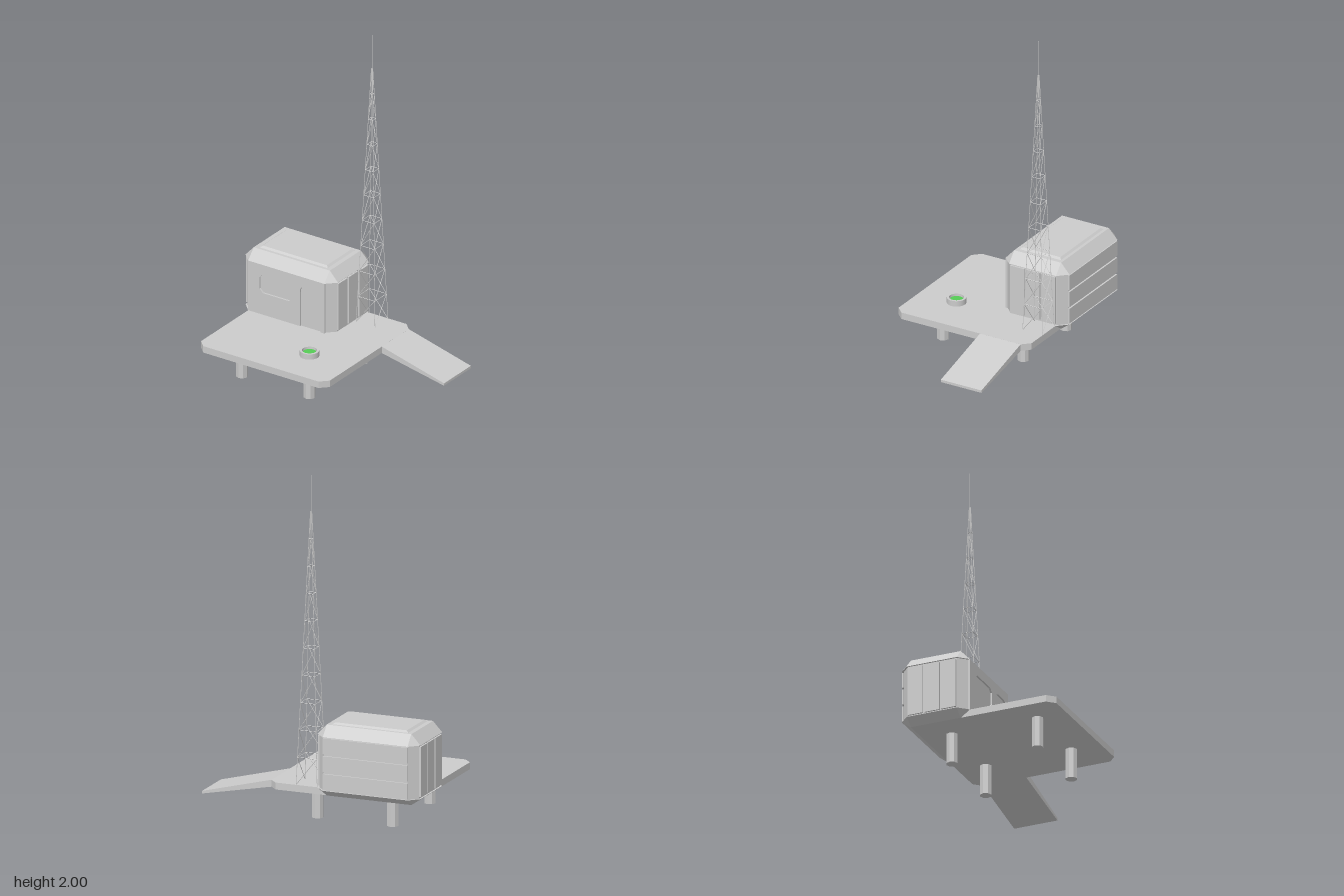
import * as THREE from 'three';

const grey = new THREE.MeshStandardMaterial({ color: 0xcccccc, flatShading: true });
const smooth = new THREE.MeshStandardMaterial({ color: 0xcccccc });
const green = new THREE.MeshStandardMaterial({ color: 0x55cc55 });

function add(parent, name, geometry, x = 0, y = 0, z = 0, material = grey) {
  const mesh = new THREE.Mesh(geometry, material);
  mesh.name = name;
  mesh.position.set(x, y, z);
  parent.add(mesh);
  return mesh;
}

// Rectangle with cut corners, counter-clockwise from above
function cutRect(hx, hz, c) {
  return [[hx, hz - c], [hx, c - hz], [hx - c, -hz], [c - hx, -hz],
    [-hx, c - hz], [-hx, hz - c], [c - hx, hz], [hx - c, hz]];
}

// Closed solid through stacked cut rectangles: [y, halfX, halfZ, cut]
function loft(levels) {
  const rings = levels.map(([y, hx, hz, c]) => cutRect(hx, hz, c).map(([x, z]) => [x, y, z]));
  const pos = [];
  const tri = (a, b, c) => pos.push(...a, ...b, ...c);
  for (let r = 0; r < rings.length - 1; r++) {
    const lo = rings[r], hi = rings[r + 1];
    for (let i = 0; i < 8; i++) {
      const j = (i + 1) % 8;
      tri(lo[i], lo[j], hi[j]);
      tri(lo[i], hi[j], hi[i]);
    }
  }
  const bottom = rings[0], top = rings[rings.length - 1];
  for (let i = 1; i < 7; i++) {
    tri(top[0], top[i], top[i + 1]);
    tri(bottom[0], bottom[i + 1], bottom[i]);
  }
  const geo = new THREE.BufferGeometry();
  geo.setAttribute('position', new THREE.Float32BufferAttribute(pos, 3));
  geo.computeVertexNormals();
  return geo;
}

function extrude(shape, depth) {
  return new THREE.ExtrudeGeometry(shape, { depth, bevelEnabled: false, curveSegments: 6 });
}

const polygon = (points) => new THREE.Shape(points.map(([x, y]) => new THREE.Vector2(x, y)));

// Thin straight bar between two points
function strut(parent, name, a, b, r) {
  const dir = b.clone().sub(a);
  const mesh = add(parent, name, new THREE.CylinderGeometry(r, r, dir.length(), 4));
  mesh.position.copy(a).add(b).multiplyScalar(0.5);
  mesh.quaternion.setFromUnitVectors(new THREE.Vector3(0, 1, 0), dir.normalize());
}

function createCabin() {
  const cabin = new THREE.Group();
  cabin.name = 'cabin';
  cabin.position.set(-0.3625, 0, -0.255);
  const hx = 0.3125, hz = 0.208, cut = 0.055, t = 0.01;
  const low = 0.22, high = 0.53;
  const core = [hx - t, hz - t, cut - t * 0.586];

  // Bevelled floor, recessed core and sloped roof
  add(cabin, 'cabinShell', loft([
    [0.18, hx - cut, hz - cut, 0.001], [low, hx, hz, cut],
    [low, ...core], [high, ...core],
    [high, hx, hz, cut], [0.59, hx - cut, hz - cut, 0.001],
  ]));
  add(cabin, 'roofPanel', loft([
    [0.59, 0.23, 0.135, 0.001], [0.6, 0.217, 0.123, 0.001],
  ]));

  // Front wall with a round-cornered doorway and a window recess
  const w = hx - cut, dl = 0.092, dr = 0.232, dt = 0.475, r = 0.045;
  const wall = new THREE.Shape();
  wall.moveTo(-w, low);
  wall.lineTo(dl, low);
  wall.lineTo(dl, dt - r);
  wall.quadraticCurveTo(dl, dt, dl + r, dt);
  wall.lineTo(dr - r, dt);
  wall.quadraticCurveTo(dr, dt, dr, dt - r);
  wall.lineTo(dr, low);
  wall.lineTo(w, low);
  wall.lineTo(w, high);
  wall.lineTo(-w, high);
  const win = cutRect(0.111, 0.058, 0.022).map(([x, y]) => new THREE.Vector2(x - 0.069, y + 0.413));
  wall.holes.push(new THREE.Path(win));
  add(cabin, 'frontWall', extrude(wall, t), 0, 0, hz - t);

  // Three boards on the back, three upright panels on each end
  const gap = 0.012, wallH = high - low, wallD = 2 * (hz - cut);
  for (let i = 0; i < 3; i++) {
    const k = i - 1;
    add(cabin, 'backBoard', new THREE.BoxGeometry(2 * w, wallH / 3 - gap, t),
      0, low + wallH / 2 + k * wallH / 3, -hz + t / 2);
    for (const s of [-1, 1]) {
      add(cabin, 'endPanel', new THREE.BoxGeometry(t, wallH - 0.02, wallD / 3 - gap),
        s * (hx - t / 2), low + wallH / 2, k * wallD / 3);
    }
  }
  return cabin;
}

function createTower() {
  const tower = new THREE.Group();
  tower.name = 'latticeTower';
  tower.position.set(0.02, 0, -0.336);
  const levels = 10, r = 0.0018;
  const corners = [[1, 1], [1, -1], [-1, -1], [-1, 1]];
  const point = (level, corner) => {
    const h = 0.064 + (0.003 - 0.064) * level / levels;
    const [x, z] = corners[corner % 4];
    return new THREE.Vector3(x * h, 0.22 + 0.157 * level, z * h);
  };
  for (let c = 0; c < 4; c++) {
    strut(tower, 'towerLeg', point(0, c), point(levels, c), r);
    for (let l = 0; l < levels; l++) {
      if (l > 0) strut(tower, 'towerRung', point(l, c), point(l, c + 1), r);
      // The two end faces lean the same way above the lowest bays
      const flip = c === 2 && l > 2;
      strut(tower, 'towerBrace', point(l, flip ? c + 1 : c), point(l + 1, flip ? c : c + 1), r);
    }
  }
  strut(tower, 'antenna', new THREE.Vector3(0, 1.72, 0), new THREE.Vector3(0, 2, 0), 0.0018);
  return tower;
}

export function createModel() {
  const model = new THREE.Group();
  model.name = 'outpost';

  // Platform with cut corners
  add(model, 'platform', loft([[0.18, 0.435, 0.434, 0.045], [0.22, 0.435, 0.434, 0.045]]),
    -0.184, 0, 0.029);

  // Ramp sloping down on the left side
  const ramp = polygon([[0.25, 0.18], [0.672, 0.095], [0.672, 0.11], [0.25, 0.22]]);
  add(model, 'ramp', extrude(ramp, 0.265), 0, 0, -0.36);

  // Legs
  for (const x of [-0.434, 0.022]) {
    for (const z of [0.284, -0.24]) {
      add(model, 'leg', new THREE.CylinderGeometry(0.034, 0.034, 0.18, 8), x, 0.09, z);
    }
  }

  // Round lamp: raised ring around a green disc
  const ring = [[0.04, 0], [0.055, 0], [0.055, 0], [0.055, 0.033], [0.055, 0.033],
    [0.042, 0.033], [0.042, 0.033], [0.04, 0]].map(([x, y]) => new THREE.Vector2(x, y));
  add(model, 'lampRing', new THREE.LatheGeometry(ring, 32), -0.02, 0.22, 0.222, smooth);
  add(model, 'lampDisc', new THREE.CylinderGeometry(0.039, 0.041, 0.02, 32), -0.02, 0.23, 0.222, green);

  model.add(createCabin(), createTower());
  return model;
}
